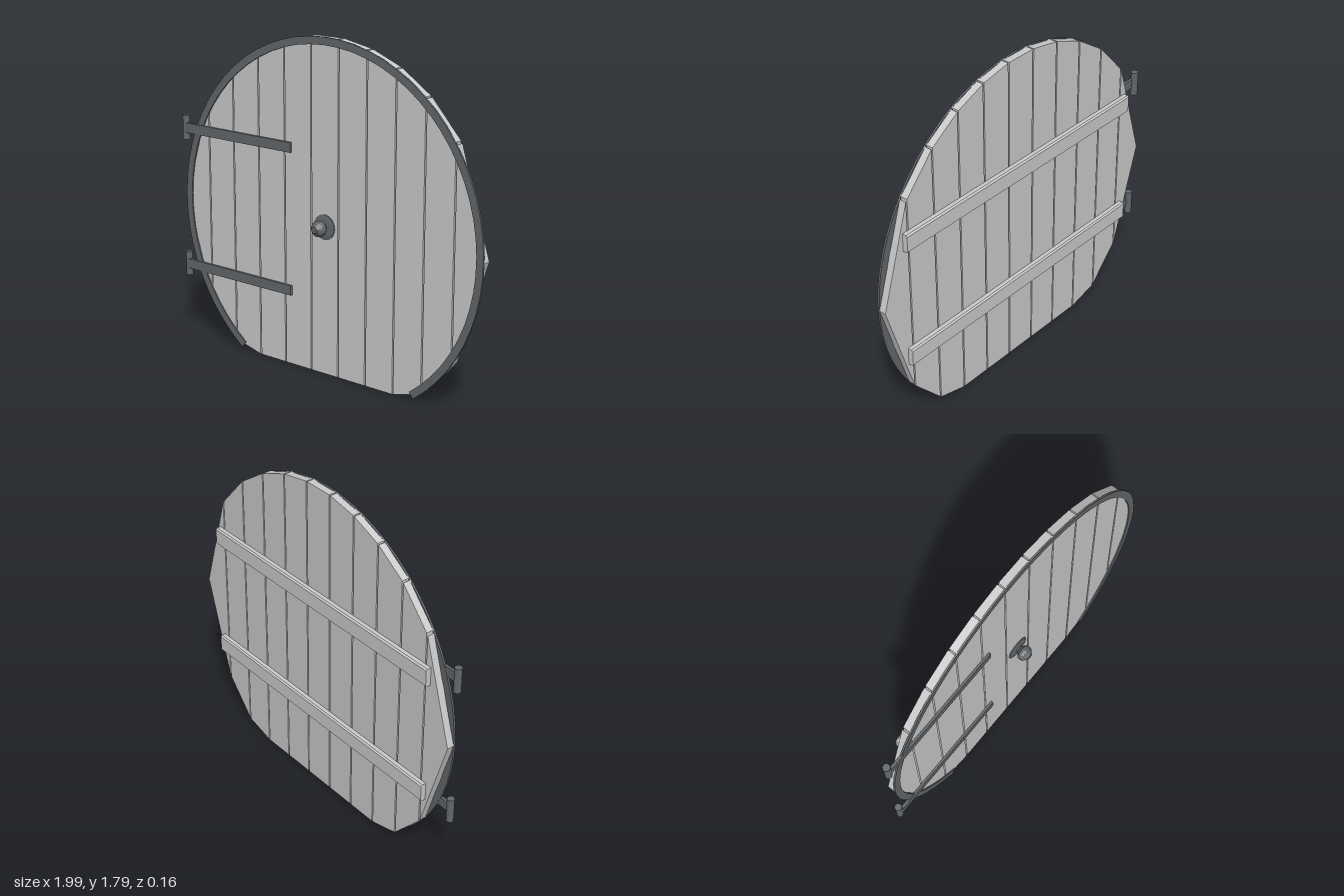
import * as THREE from 'three';

const CX = 0.0075, CY = 0.805, R = 0.985;
const wood = new THREE.MeshStandardMaterial({ color: 0xcccccc, flatShading: true });
const iron = new THREE.MeshStandardMaterial({ color: 0x63686c, flatShading: true });

function add(parent, name, geometry, material, x = 0, y = 0, z = 0) {
  const mesh = new THREE.Mesh(geometry, material);
  mesh.name = name;
  mesh.position.set(x, y, z);
  parent.add(mesh);
  return mesh;
}

function extrude(shape, depth, curveSegments = 12) {
  return new THREE.ExtrudeGeometry(shape, { depth, curveSegments, bevelEnabled: false });
}

// Half height of the round door at an offset from its centre
const halfHeight = (dx) => Math.sqrt(Math.max(0, R * R - dx * dx));

// Vertical plank whose straight-cut ends meet the circle, trimmed level at the floor
function plankShape(a, b) {
  const top = (x) => CY + halfHeight(x);
  const bottom = (x) => Math.max(0, CY - halfHeight(x));
  const corners = [[a, bottom(a)], [b, bottom(b)], [b, top(b)], [a, top(a)]];
  const points = corners
    .filter(([x, y], i) => {
      const [px, py] = corners[(i + 3) % 4];
      return Math.hypot(x - px, y - py) > 1e-4;
    })
    .map(([x, y]) => new THREE.Vector2(CX + x, y));
  return new THREE.Shape(points);
}

export function createModel() {
  const door = new THREE.Group();
  door.name = 'roundDoor';

  // Eleven planks with narrow gaps; the outer two end in points
  const planks = new THREE.Group();
  planks.name = 'planks';
  door.add(planks);
  const pitch = 0.18, gap = 0.008;
  for (let i = -5; i <= 5; i++) {
    const a = Math.max(-R, (i - 0.5) * pitch + gap / 2);
    const b = Math.min(R, (i + 0.5) * pitch - gap / 2);
    add(planks, 'plank', extrude(plankShape(a, b), 0.043), wood, 0, 0, -0.045);
  }

  // Thin iron rim, open at the floor
  const start = THREE.MathUtils.degToRad(-53.7), end = THREE.MathUtils.degToRad(233.7);
  const rim = new THREE.Shape();
  rim.absarc(0, 0, R, start, end, false);
  rim.absarc(0, 0, R - 0.041, end, start, true);
  add(door, 'rim', extrude(rim, 0.011, 26), iron, CX, CY, -0.006);

  // Two battens across the back, chamfered on their rear edges
  const c = 0.008, h = 0.05, d = 0.03;
  const profile = new THREE.Shape([
    [0, -h], [d - c, -h], [d, -h + c], [d, h - c], [d - c, h], [0, h],
  ].map(([x, y]) => new THREE.Vector2(x, y)));
  for (const y of [0.46, 1.15]) {
    const batten = add(door, 'batten', extrude(profile, 1.695), wood, 0.855, y, -0.046);
    batten.rotation.y = Math.PI / 2;
    batten.position.set(-0.84, y, -0.046);
    // the profile's depth axis must face the rear
    batten.geometry.translate(0, 0, 0);
  }

  // Strap hinges with upright pins
  for (const y of [0.416, 1.193]) {
    const hinge = new THREE.Group();
    hinge.name = 'hinge';
    hinge.position.y = y;
    door.add(hinge);
    add(hinge, 'strap', new THREE.BoxGeometry(0.765, 0.054, 0.016), iron, -0.5975, 0, 0.003);
    add(hinge, 'pin', new THREE.CylinderGeometry(0.02, 0.02, 0.135, 12), iron, -0.98, 0, -0.006);
  }

  // Turned knob on a round backplate
  const knob = new THREE.LatheGeometry([
    [0, -0.004], [0.068, -0.004], [0.068, 0.003], [0.05, 0.007], [0.022, 0.008],
    [0.022, 0.016], [0.041, 0.032], [0.043, 0.046], [0.039, 0.06],
    [0.023, 0.075], [0.018, 0.081], [0, 0.081],
  ].map(([r, y]) => new THREE.Vector2(r, y)), 16);
  add(door, 'knob', knob, iron, CX, CY, 0).rotation.x = Math.PI / 2;

  return door;
}
